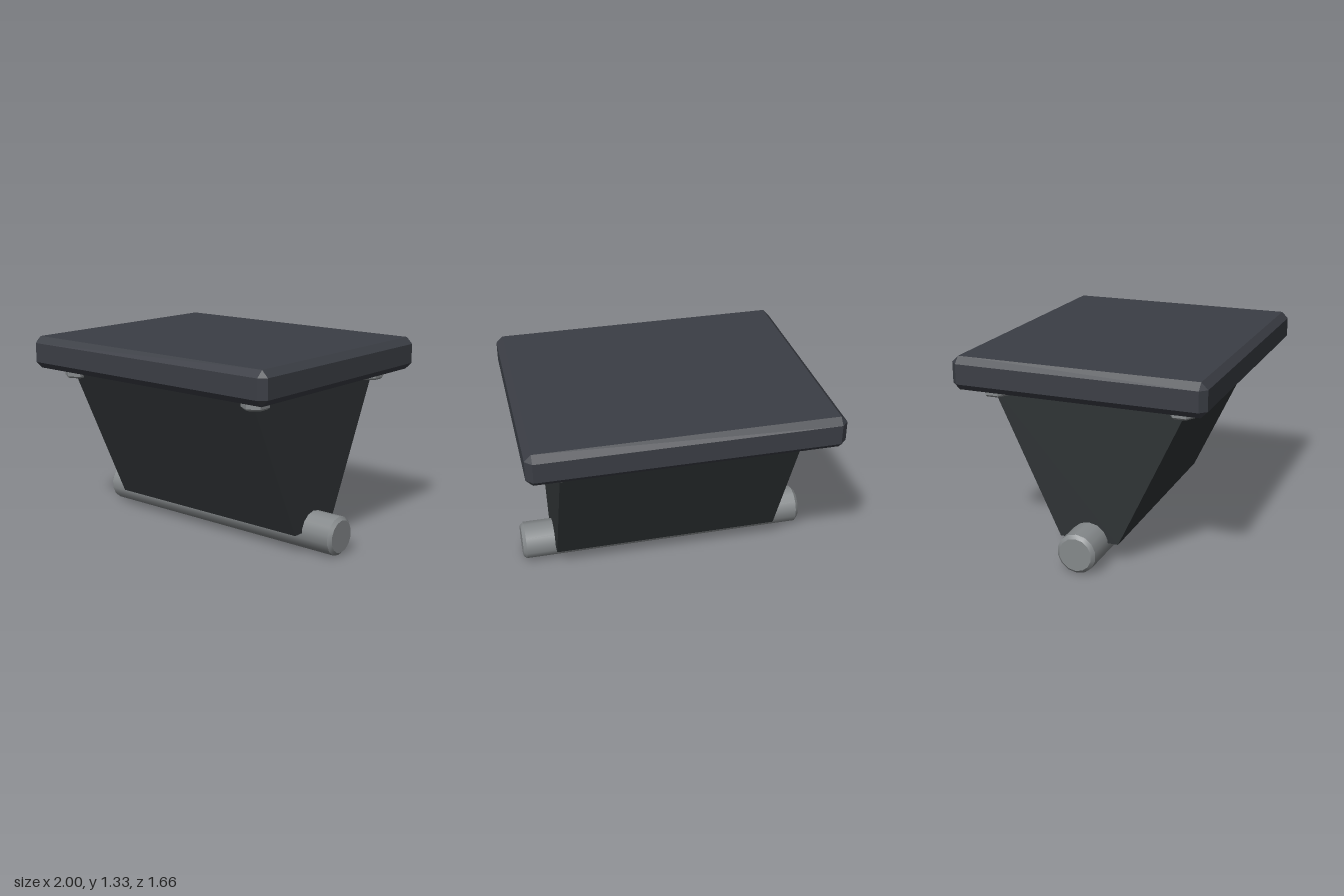
import * as THREE from 'three';
import { ConvexGeometry } from 'three/addons/geometries/ConvexGeometry.js';
import { toCreasedNormals } from 'three/addons/utils/BufferGeometryUtils.js';

// Box centred on the origin with every edge chamfered by c
function chamferedBox(w, h, d, c) {
  const points = [];
  const x = w / 2, y = h / 2, z = d / 2;
  for (const sx of [-1, 1]) for (const sy of [-1, 1]) for (const sz of [-1, 1]) {
    points.push(
      new THREE.Vector3(sx * x, sy * (y - c), sz * (z - c)),
      new THREE.Vector3(sx * (x - c), sy * y, sz * (z - c)),
      new THREE.Vector3(sx * (x - c), sy * (y - c), sz * z)
    );
  }
  return new ConvexGeometry(points);
}

// Upright cylinder with chamfered rims
function chamferedCylinder(r, h, c, sides, phiStart = 0) {
  const profile = [[0, -h / 2], [r - c, -h / 2], [r, -h / 2 + c], [r, h / 2 - c], [r - c, h / 2], [0, h / 2]]
    .map(([px, py]) => new THREE.Vector2(px, py));
  return toCreasedNormals(new THREE.LatheGeometry(profile, sides, phiStart), 0.6);
}

export function createModel() {
  const group = new THREE.Group();
  const topMat = new THREE.MeshStandardMaterial({ color: 0x3b3e45 });
  const bodyMat = new THREE.MeshStandardMaterial({ color: 0x2f3335 });
  const metalMat = new THREE.MeshStandardMaterial({ color: 0x85898b });

  const add = (name, geometry, material, x, y, z) => {
    const mesh = new THREE.Mesh(geometry, material);
    mesh.name = name;
    mesh.position.set(x, y, z);
    group.add(mesh);
    return mesh;
  };

  // Top slab
  add('topPlate', chamferedBox(2, 0.216, 1.66, 0.043), topMat, 0, 1.223, 0);

  // Tapered body, widening towards the slab
  const section = new THREE.Shape([
    new THREE.Vector2(-0.2, 0.138), new THREE.Vector2(0.2, 0.138),
    new THREE.Vector2(0.665, 1.125), new THREE.Vector2(-0.665, 1.125)
  ]);
  const body = new THREE.ExtrudeGeometry(section, { depth: 1.556, bevelEnabled: false });
  body.translate(0, 0, -0.778).rotateY(Math.PI / 2);
  add('taperedBody', body, bodyMat, 0, 0, 0);

  // Pivot rod along the bottom
  const rod = chamferedCylinder(0.131, 2, 0.022, 14, Math.PI / 2).rotateZ(Math.PI / 2);
  add('pivotRod', rod, metalMat, 0, 0.131, 0);

  // Hexagonal bolt heads under the slab corners
  const bolt = chamferedCylinder(0.088, 0.064, 0.012, 6);
  for (const sx of [-1, 1]) for (const sz of [-1, 1]) {
    add(`${sz > 0 ? 'front' : 'back'}${sx > 0 ? 'Left' : 'Right'}Bolt`, bolt, metalMat, sx * 0.778, 1.082, sz * 0.622);
  }
  return group;
}
